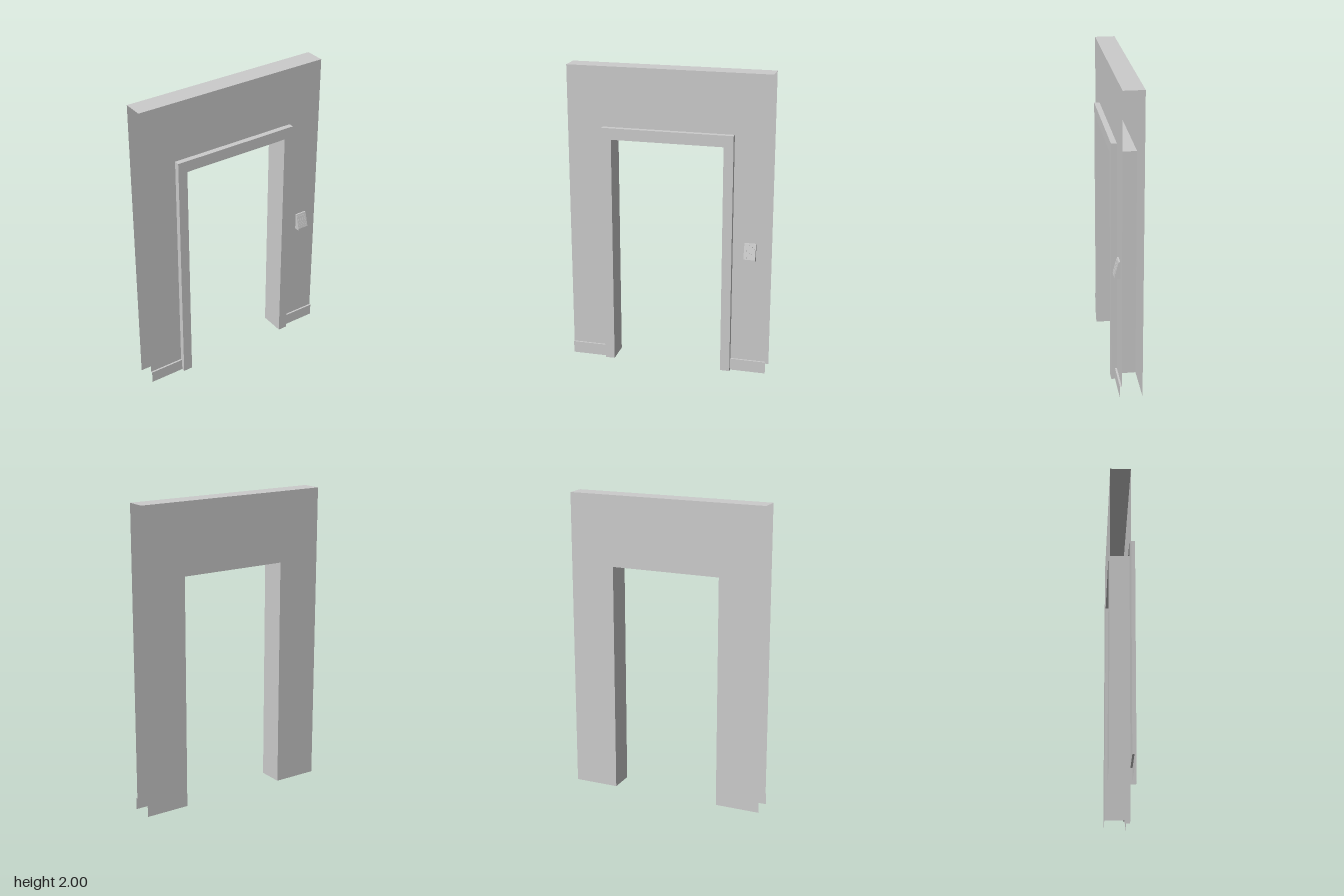
import * as THREE from 'three';

const grey = new THREE.MeshStandardMaterial({ color: 0xcccccc, side: THREE.DoubleSide, flatShading: true });

// Main dimensions: half widths, heights and depths
const W = 0.665, H = 2;
const OPEN_X = 0.367, OPEN_Y = 1.535;
const TRIM_X = 0.43, TRIM_Y = 1.61;
const BACK = -0.086, FRONT = 0.046, TRIM_Z = 0.082;
const BASE_Y = 0.08, BASE_Z = 0.058;

function add(parent, name, geometry) {
  const mesh = new THREE.Mesh(geometry, grey);
  mesh.name = name;
  parent.add(mesh);
  return mesh;
}

// Flat arch facing +z: outer rectangle with a doorway cut out of its lower edge
function arch(ox, oy, ix, iy, y0 = 0) {
  const s = new THREE.Shape();
  [[-ox, y0], [-ix, y0], [-ix, iy], [ix, iy], [ix, y0], [ox, y0], [ox, oy], [-ox, oy]]
    .forEach(([x, y], i) => (i ? s.lineTo(x, y) : s.moveTo(x, y)));
  s.closePath();
  return new THREE.ShapeGeometry(s);
}

// Upright panel in the yz plane, facing dir along x
function sidePanel(x, h, z0, z1, dir) {
  return new THREE.PlaneGeometry(z1 - z0, h).rotateY(dir * Math.PI / 2).translate(x, h / 2, (z0 + z1) / 2);
}

// Level panel, facing dir along y
function levelPanel(x0, x1, y, z0, z1, dir) {
  return new THREE.PlaneGeometry(x1 - x0, z1 - z0).rotateX(-dir * Math.PI / 2)
    .translate((x0 + x1) / 2, y, (z0 + z1) / 2);
}

export function createModel() {
  const model = new THREE.Group();
  model.name = 'doorwayWall';

  // Hollow wall, open at both ends and underneath
  const wall = new THREE.Group();
  wall.name = 'wall';
  model.add(wall);
  add(wall, 'wallFront', arch(W, H, TRIM_X, TRIM_Y, BASE_Y)).position.z = FRONT;
  add(wall, 'wallBack', arch(W, H, OPEN_X, OPEN_Y).rotateY(Math.PI)).position.z = BACK;
  add(wall, 'wallTop', levelPanel(-W, W, H, BACK, FRONT, 1));

  // Door frame: face, outer edges and the lining of the opening
  const frame = new THREE.Group();
  frame.name = 'doorFrame';
  model.add(frame);
  add(frame, 'frameFace', arch(TRIM_X, TRIM_Y, OPEN_X, OPEN_Y)).position.z = TRIM_Z;
  add(frame, 'frameTop', levelPanel(-TRIM_X, TRIM_X, TRIM_Y, FRONT, TRIM_Z, 1));
  add(frame, 'liningTop', levelPanel(-OPEN_X, OPEN_X, OPEN_Y, BACK, TRIM_Z, -1));

  for (const s of [-1, 1]) {
    const side = s > 0 ? 'left' : 'right';
    add(frame, side + 'FrameEdge', sidePanel(s * TRIM_X, TRIM_Y, FRONT, TRIM_Z, s));
    add(frame, side + 'Lining', sidePanel(s * OPEN_X, OPEN_Y, BACK, TRIM_Z, -s));

    // Skirting board: thin face with a top ledge
    const skirting = new THREE.Group();
    skirting.name = side + 'Skirting';
    model.add(skirting);
    const mid = s * (W + TRIM_X) / 2, half = (W - TRIM_X) / 2;
    add(skirting, 'skirtingFace', new THREE.PlaneGeometry(half * 2, BASE_Y)).position.set(mid, BASE_Y / 2, BASE_Z);
    add(skirting, 'skirtingLedge', levelPanel(mid - half, mid + half, BASE_Y, FRONT, BASE_Z, 1));
  }

  // Keypad: wedge-shaped housing with a sloping face
  const keypad = new THREE.Group();
  keypad.name = 'keypad';
  model.add(keypad);
  const x0 = 0.508, x1 = 0.584;
  const low = new THREE.Vector2(0.083, 0.802), high = new THREE.Vector2(0.056, 0.903);
  const profile = new THREE.Shape([
    new THREE.Vector2(FRONT, 0.79), new THREE.Vector2(0.083, 0.79), low, high, new THREE.Vector2(FRONT, 0.903),
  ]);
  const body = new THREE.ExtrudeGeometry(profile, { depth: x1 - x0, bevelEnabled: false });
  add(keypad, 'keypadHousing', body.rotateY(-Math.PI / 2).translate(x1, 0, 0));

  // Grid of keys lying on the sloping face
  const tilt = -Math.atan2(low.x - high.x, high.y - low.y);
  for (let row = 0; row < 4; row++) {
    for (let col = 0; col < 4; col++) {
      const p = low.clone().lerp(high, 0.16 + row * 0.22);
      const key = add(keypad, 'key', new THREE.BoxGeometry(0.012, 0.015, 0.005));
      key.position.set(x0 + 0.0125 + col * 0.017, p.y, p.x);
      key.rotation.x = tilt;
    }
  }

  return model;
}
